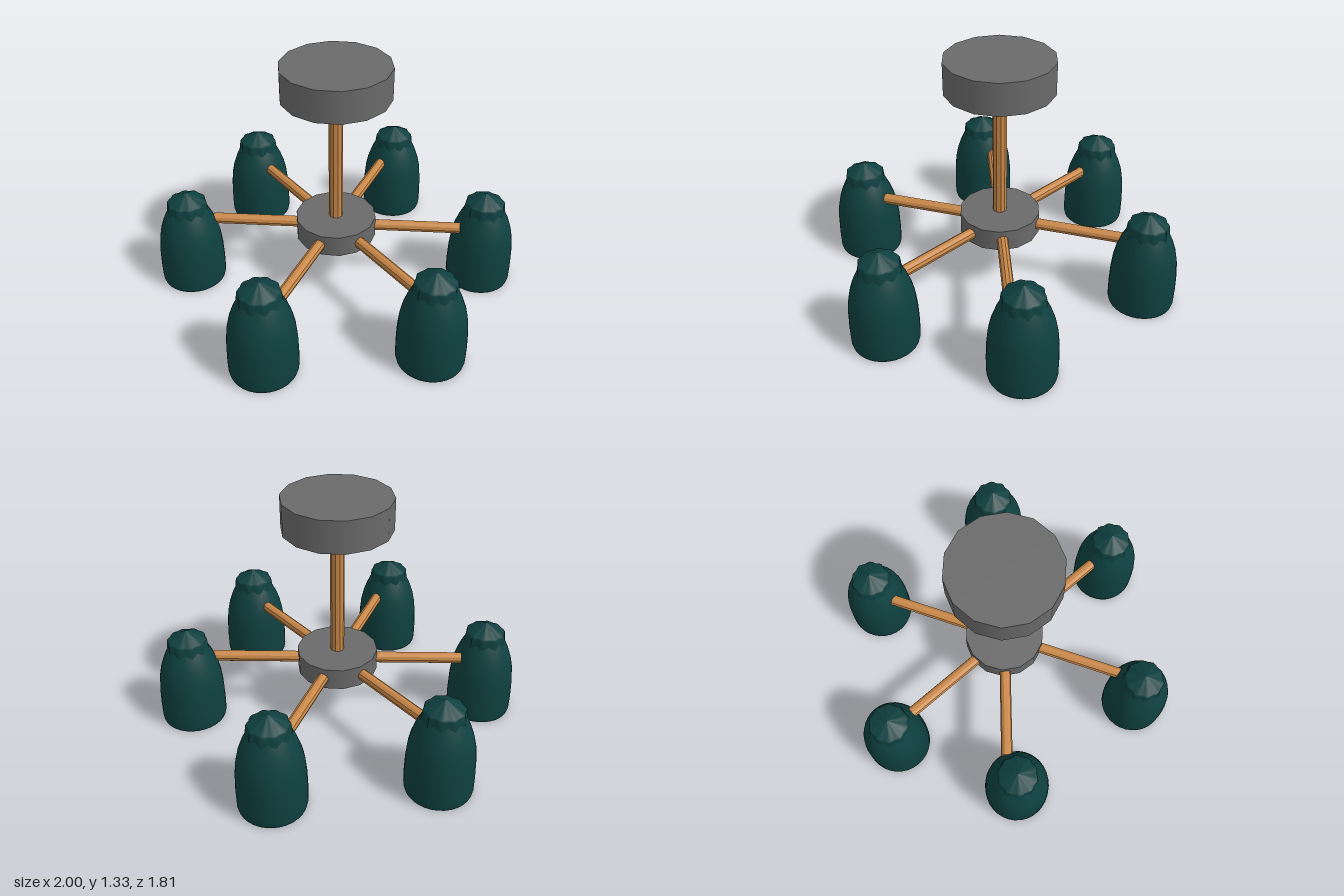
import * as THREE from 'three';

const grey = new THREE.MeshStandardMaterial({ name: 'grey metal', color: 0x6a6a6a });
const copper = new THREE.MeshStandardMaterial({ name: 'copper', color: 0xc98848 });
copper.flatShading = true;
const teal = new THREE.MeshStandardMaterial({ name: 'dark teal', color: 0x0f4040 });
const white = new THREE.MeshStandardMaterial({ name: 'bulb white', color: 0xe6e6e6 });

function add(parent, name, geometry, material, x = 0, y = 0, z = 0) {
  const mesh = new THREE.Mesh(geometry, material);
  mesh.name = name;
  mesh.position.set(x, y, z);
  parent.add(mesh);
  return mesh;
}

const lathe = (points, segments) =>
  new THREE.LatheGeometry(points.map(([r, y]) => new THREE.Vector2(r, y)), segments);

// Upright disc between two heights
function disc(parent, name, radius, bottom, top, sides) {
  const geometry = new THREE.CylinderGeometry(radius, radius, top - bottom, sides);
  const mesh = add(parent, name, geometry, grey, 0, (bottom + top) / 2, 0);
  mesh.rotation.y = THREE.MathUtils.degToRad(7.7);
}

// Bottle-shaped shade: inner wall from the top down, rim, then outer wall up
const shadeGeometry = lathe([
  [0.0001, 0.42], [0.09, 0.41], [0.135, 0.34], [0.155, 0.25], [0.165, 0.12], [0.165, 0.004],
  [0.168, 0], [0.174, 0], [0.179, 0.02], [0.18, 0.1], [0.177, 0.2], [0.169, 0.28],
  [0.156, 0.34], [0.137, 0.395], [0.116, 0.44], [0.1, 0.47]
], 32);

// Fluted cap with a low pointed top
function makeCap() {
  const geometry = lathe([
    [0.09, 0.415], [0.115, 0.425], [0.114, 0.45], [0.108, 0.5], [0.102, 0.508], [0.0001, 0.56]
  ], 40);
  const p = geometry.attributes.position;
  for (let i = 0; i < p.count; i++) {
    const angle = Math.atan2(p.getX(i), p.getZ(i));
    const k = 0.96 + 0.04 * Math.cos(10 * angle);
    p.setX(i, p.getX(i) * k);
    p.setZ(i, p.getZ(i) * k);
  }
  geometry.computeVertexNormals();
  return geometry;
}
const capGeometry = makeCap();

// Round bulb narrowing to a neck
const bulbPoints = [];
for (let i = 0; i <= 12; i++) {
  const a = (i / 12) * 2.6;
  bulbPoints.push([Math.max(0.0001, 0.105 * Math.sin(a)), 0.115 - 0.105 * Math.cos(a)]);
}
bulbPoints.push([0.045, 0.28], [0.0001, 0.28]);
const bulbGeometry = lathe(bulbPoints, 24);

export function createModel() {
  const model = new THREE.Group();
  model.name = 'ceilingLamp';

  // Ceiling mount, stem and hub
  disc(model, 'canopy', 0.29, 1.15, 1.325, 14);
  disc(model, 'hub', 0.22, 0.3, 0.42, 14);
  disc(model, 'hubCap', 0.118, 0.225, 0.3, 14);
  add(model, 'stem', new THREE.CylinderGeometry(0.038, 0.038, 0.77, 10), copper, 0, 0.785, 0);

  // Three arm and lamp pairs; each is repeated on the opposite side
  const layout = [
    { angle: 0, x: 0.82, z: 0 },
    { angle: 60, x: 0.38, z: 0.723 },
    { angle: -50, x: 0.483, z: -0.66 }
  ];
  const start = 0.12, end = 0.685;
  for (const { angle, x, z } of layout) {
    for (const side of [1, -1]) {
      const branch = new THREE.Group();
      branch.name = 'branch';
      branch.rotation.y = side === 1 ? 0 : Math.PI;
      model.add(branch);

      const holder = new THREE.Group();
      holder.name = 'armHolder';
      holder.rotation.y = -THREE.MathUtils.degToRad(angle);
      branch.add(holder);
      const arm = add(holder, 'arm', new THREE.CylinderGeometry(0.031, 0.031, end - start, 10),
        copper, (start + end) / 2, 0.36, 0);
      arm.rotation.z = -Math.PI / 2;

      const lamp = new THREE.Group();
      lamp.name = 'lamp';
      lamp.position.set(x, 0, z);
      branch.add(lamp);
      add(lamp, 'shade', shadeGeometry, teal);
      add(lamp, 'shadeCap', capGeometry, teal);
      add(lamp, 'bulb', bulbGeometry, white);
    }
  }
  return model;
}
